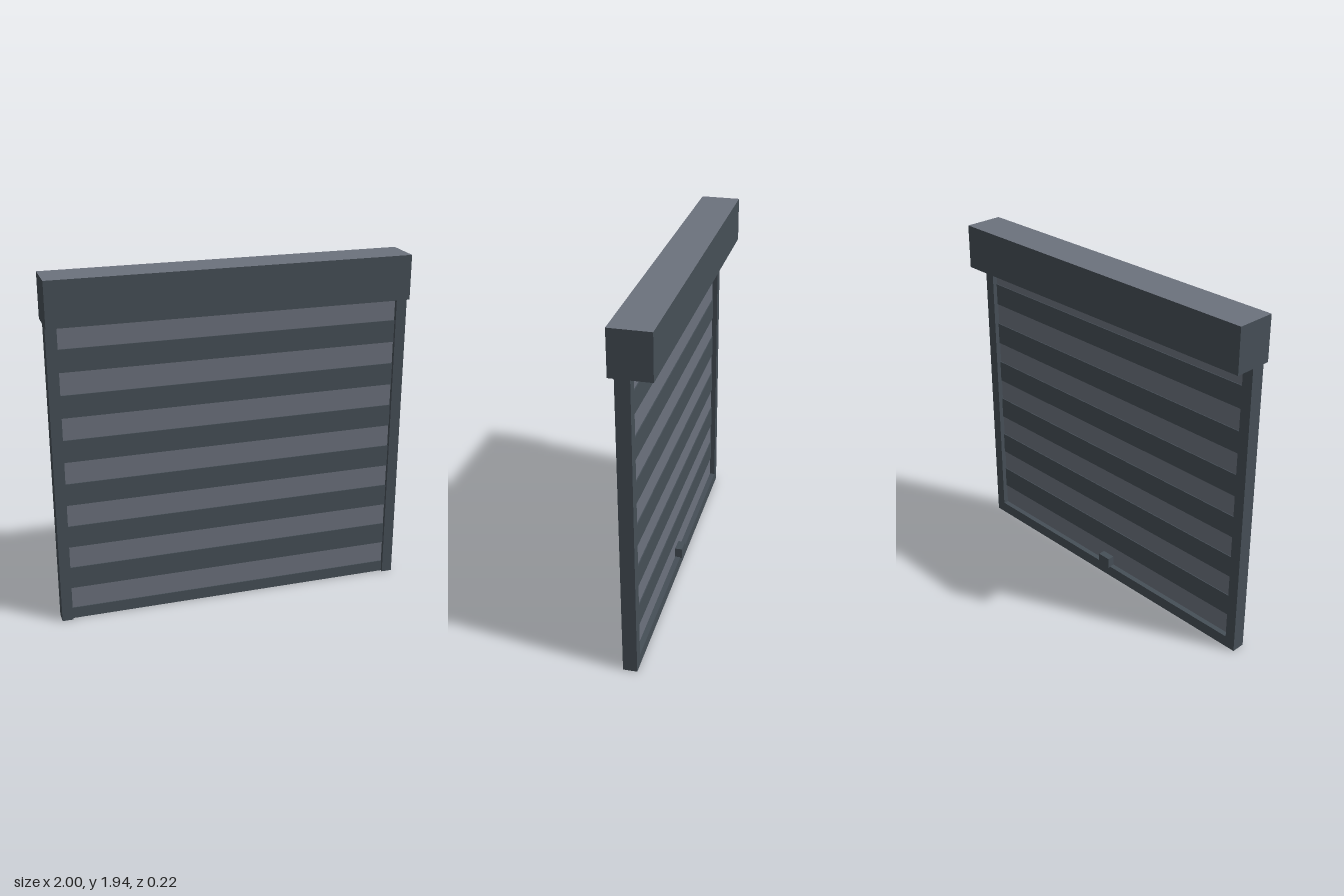
import * as THREE from 'three';

export function createModel() {
  const model = new THREE.Group();
  const dark = new THREE.MeshStandardMaterial({ color: 0x464f57 });
  dark.name = 'dark grey';
  const light = new THREE.MeshStandardMaterial({ color: 0x6c727d });
  light.name = 'light grey';

  // Box given by its limits on each axis
  function box(name, [x0, x1], [y0, y1], [z0, z1], material) {
    const mesh = new THREE.Mesh(new THREE.BoxGeometry(x1 - x0, y1 - y0, z1 - z0), material);
    mesh.position.set((x0 + x1) / 2, (y0 + y1) / 2, (z0 + z1) / 2);
    mesh.name = name;
    model.add(mesh);
    return mesh;
  }

  const inner = 0.94;      // inner edge of the guide rails
  const headY = 1.69;      // underside of the roller housing
  const pitch = 0.125;     // height of one slat
  const barTop = 0.065;

  // Roller housing with a light top face
  box('rollerHousing', [-1, 1], [headY, 1.938], [-0.11, 0.11],
    [dark, dark, light, dark, dark, dark]);

  // Guide rails on both sides
  box('rightRail', [-1, -inner], [0, headY], [0, 0.077], dark);
  box('leftRail', [inner, 1], [0, headY], [0, 0.077], dark);

  // Curtain of alternating slats, the dark ones slightly thicker
  const slats = 13;
  for (let i = 0; i < slats; i++) {
    const top = headY - i * pitch;
    const bottom = i === slats - 1 ? barTop : top - pitch;
    const isLight = i % 2 === 0;
    box(isLight ? 'lightSlat' : 'darkSlat', [-inner, inner], [bottom, top],
      isLight ? [0.03, 0.056] : [0.025, 0.061], isLight ? light : dark);
  }

  // Bottom bar and the lift handle behind it
  box('bottomBar', [-inner, inner], [0, barTop], [0, 0.061], dark);
  box('liftHandle', [-0.04, 0.04], [barTop - 0.005, 0.122], [-0.011, 0.03], dark);

  return model;
}
